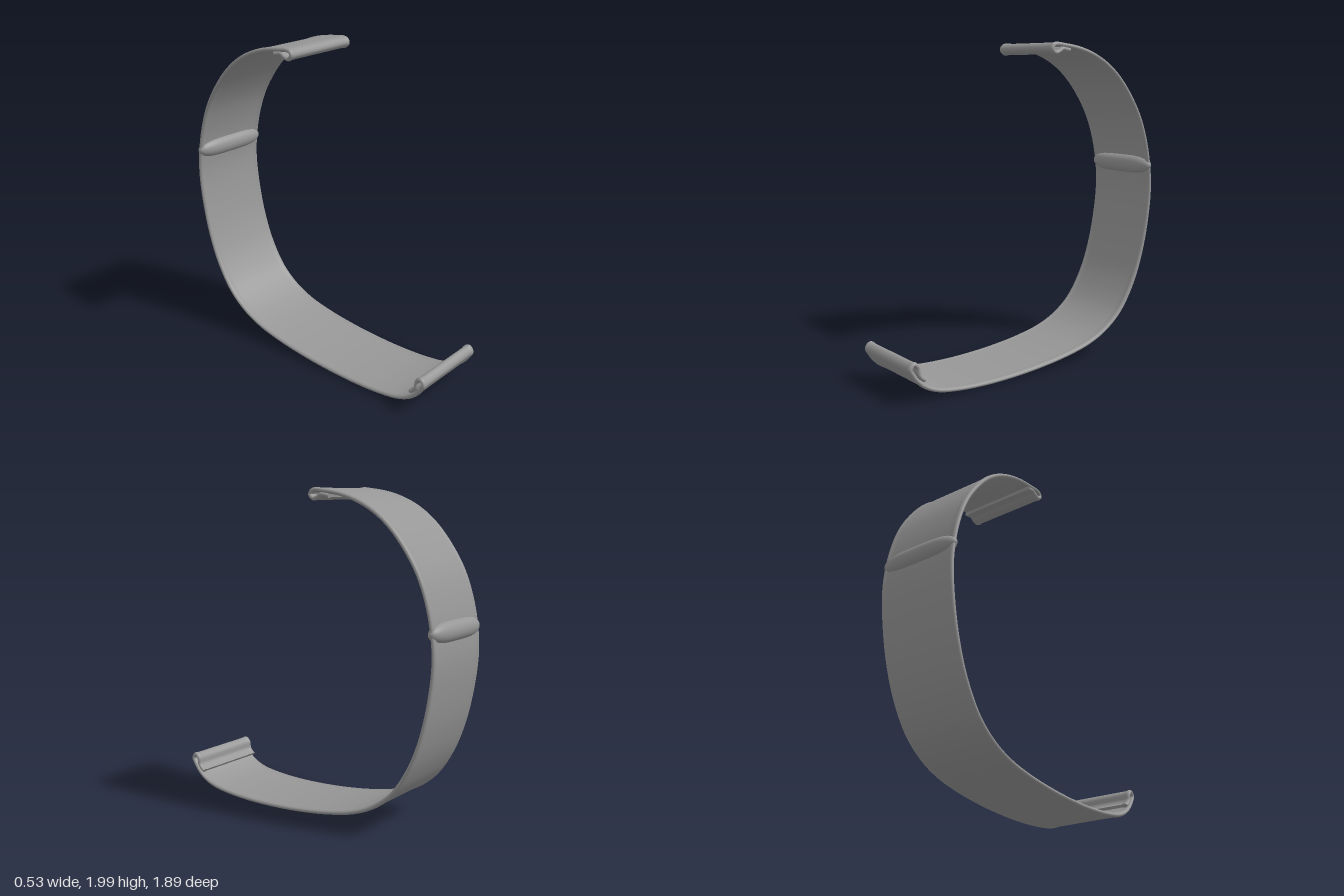
import * as THREE from 'three';

const material = new THREE.MeshStandardMaterial({ color: 0x979797 });

// Centreline of the strap as [z, y], from the upper curl to the lower curl
const path = [
  [-0.205, 1.95], [-0.175, 1.954], [-0.15, 1.957], [-0.122, 1.941], [-0.095, 1.934],
  [-0.07, 1.955], [-0.082, 1.978], [-0.11, 1.984], [-0.17, 1.978], [-0.22, 1.972],
  [-0.3, 1.957], [-0.4, 1.925], [-0.5, 1.875], [-0.6, 1.8], [-0.7, 1.69], [-0.8, 1.535],
  [-0.86, 1.38], [-0.895, 1.22], [-0.907, 1.06], [-0.885, 0.85], [-0.835, 0.63],
  [-0.76, 0.44], [-0.65, 0.275], [-0.52, 0.172], [-0.38, 0.11], [-0.2, 0.068],
  [0, 0.04], [0.2, 0.024], [0.4, 0.019], [0.6, 0.028], [0.75, 0.052], [0.83, 0.087],
  [0.88, 0.128], [0.913, 0.172], [0.93, 0.207], [0.908, 0.233], [0.882, 0.212],
  [0.876, 0.172], [0.861, 0.148], [0.837, 0.13],
];

// Cross-section: thin web with a soft bead along each long edge
function strapSection() {
  const ring = [];
  for (const side of [1, -1]) {
    ring.push(new THREE.Vector2(side * 0.2, -side * 0.0095));
    for (let k = 0; k <= 12; k++) {
      const a = THREE.MathUtils.degToRad(-135 + k * 22.5);
      ring.push(new THREE.Vector2(side * (0.241 + 0.019 * Math.cos(a)), side * 0.0135 * Math.sin(a)));
    }
    ring.push(new THREE.Vector2(side * 0.2, side * 0.0095));
  }
  return ring;
}

// Sweeps the section along a path lying in the yz plane
function sweep(curve, ring, steps) {
  const pos = [], index = [], m = ring.length;
  const addRing = (u) => {
    const p = curve.getPoint(u), t = curve.getTangent(u);
    for (const q of ring) pos.push(q.x, p.y + q.y * t.z, p.z - q.y * t.y);
  };
  for (let i = 0; i <= steps; i++) addRing(i / steps);
  for (let i = 0; i < steps; i++) {
    for (let j = 0; j < m; j++) {
      const a = i * m + j, b = i * m + (j + 1) % m;
      index.push(a, b, b + m, a, b + m, a + m);
    }
  }
  // End caps with their own vertices so the edges stay sharp
  const faces = THREE.ShapeUtils.triangulateShape(ring, []);
  for (const u of [0, 1]) {
    const base = pos.length / 3;
    addRing(u);
    for (const [a, b, c] of faces) {
      if (u) index.push(base + a, base + b, base + c);
      else index.push(base + a, base + c, base + b);
    }
  }
  const g = new THREE.BufferGeometry();
  g.setAttribute('position', new THREE.Float32BufferAttribute(pos, 3));
  g.setIndex(index);
  g.computeVertexNormals();
  return g;
}

export function createModel() {
  const group = new THREE.Group();

  // Curved strap with a rolled curl at each end
  const curve = new THREE.CatmullRomCurve3(path.map(([z, y]) => new THREE.Vector3(0, y, z)));
  const strap = new THREE.Mesh(sweep(curve, strapSection(), 320), material);
  strap.name = 'strap';
  group.add(strap);

  // Rounded crossbar at the back, tapering at both ends
  const profile = [];
  for (let i = 0; i <= 40; i++) {
    const t = -Math.cos((i / 40) * Math.PI);
    profile.push(new THREE.Vector2(Math.sqrt(Math.max(0, 1 - t ** 4)), t * 0.265));
  }
  const barGeometry = new THREE.LatheGeometry(profile, 40);
  barGeometry.rotateZ(Math.PI / 2);
  barGeometry.scale(1, 0.06, 0.051);
  const bar = new THREE.Mesh(barGeometry, material);
  bar.name = 'crossbar';
  bar.position.set(0, 1.216, -0.893);
  group.add(bar);

  return group;
}
